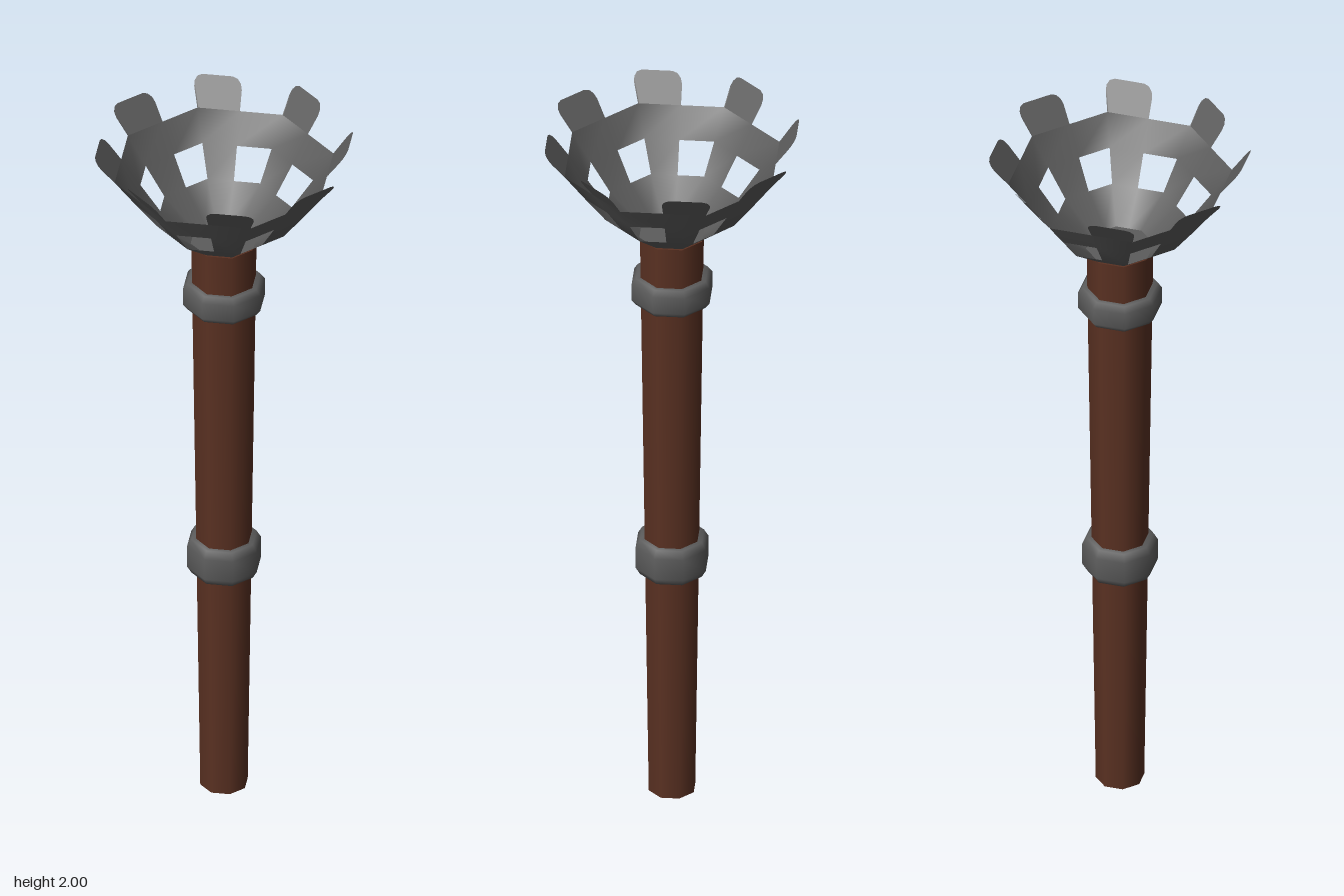
import * as THREE from 'three';
import { mergeVertices } from 'three/addons/utils/BufferGeometryUtils.js';

const SIDES = 8;
const HALF = Math.PI / SIDES;

// point on an eight-sided ring: corner radius r, height y, s counts half sides
function ringPoint(r, y, s) {
  const corner = (k) => new THREE.Vector3(
    r * Math.cos(k * HALF * 2), y, r * Math.sin(k * HALF * 2));
  const k = Math.floor(s / 2);
  return corner(k).lerp(corner(k + 1), s / 2 - k);
}

function createBasketGeometry() {
  const levels = [[0.09, 1.705], [0.183, 1.776], [0.24, 1.852], [0.295, 1.928], [0.352, 2]];
  const positions = [];
  const tri = (...pts) => pts.forEach((p) => positions.push(p.x, p.y, p.z));

  // cone, bars with windows between them, and the hoop
  for (let s = 0; s < SIDES * 2; s++) {
    for (let l = 0; l < 3; l++) {
      if (l === 1 && s % 2 === 1) continue; // window
      const [r0, y0] = levels[l], [r1, y1] = levels[l + 1];
      const a = ringPoint(r0, y0, s), b = ringPoint(r0, y0, s + 1);
      const c = ringPoint(r1, y1, s + 1), d = ringPoint(r1, y1, s);
      tri(a, d, c);
      tri(a, c, b);
    }
  }

  // rounded tabs, as strips across each tab
  const outline = [[0, 0.62], [0.03, 0.8], [0.1, 0.94], [0.2, 1],
    [0.8, 1], [0.9, 0.94], [0.97, 0.8], [1, 0.62]];
  const [r0, y0] = levels[3], [r1, y1] = levels[4];
  const tabPoint = (s, u, v) => ringPoint(
    THREE.MathUtils.lerp(r0, r1, v), THREE.MathUtils.lerp(y0, y1, v), s + u);
  for (let s = 0; s < SIDES * 2; s += 2) {
    for (let i = 0; i < outline.length - 1; i++) {
      const [u0, v0] = outline[i], [u1, v1] = outline[i + 1];
      const a = tabPoint(s, u0, 0), b = tabPoint(s, u1, 0);
      const c = tabPoint(s, u1, v1), d = tabPoint(s, u0, v0);
      tri(a, d, c);
      tri(a, c, b);
    }
  }

  const geometry = new THREE.BufferGeometry();
  geometry.setAttribute('position', new THREE.Float32BufferAttribute(positions, 3));
  const merged = mergeVertices(geometry, 1e-4);
  merged.computeVertexNormals();
  return merged;
}

export function createModel() {
  const group = new THREE.Group();
  const wood = new THREE.MeshStandardMaterial({ color: 0x5a3122 });
  const iron = new THREE.MeshStandardMaterial({ color: 0x5c5c5c });
  const ironSheet = new THREE.MeshStandardMaterial({ color: 0x5c5c5c, side: THREE.DoubleSide });

  const add = (name, geometry, material, y = 0) => {
    const mesh = new THREE.Mesh(geometry, material);
    mesh.name = name;
    mesh.position.y = y;
    group.add(mesh);
    return mesh;
  };

  // tapered shaft
  add('handle', new THREE.CylinderGeometry(0.088, 0.064, 1.7, SIDES), wood, 0.85);

  // bevelled collars around the shaft
  const collar = (name, y, r, inner, h) => {
    const profile = [[inner, -h], [r - 0.012, -h], [r, -h * 0.6],
      [r, h * 0.6], [r - 0.012, h], [inner, h]].map(([x, v]) => new THREE.Vector2(x, v));
    add(name, new THREE.LatheGeometry(profile, SIDES), iron, y);
  };
  collar('lowerCollar', 0.722, 0.1, 0.065, 0.052);
  collar('upperCollar', 1.54, 0.111, 0.08, 0.04);

  // fire basket and its floor
  add('basket', createBasketGeometry(), ironSheet);
  const floor = new THREE.CircleGeometry(0.09, SIDES).rotateX(-Math.PI / 2);
  add('basketFloor', floor, ironSheet, 1.705);

  return group;
}
